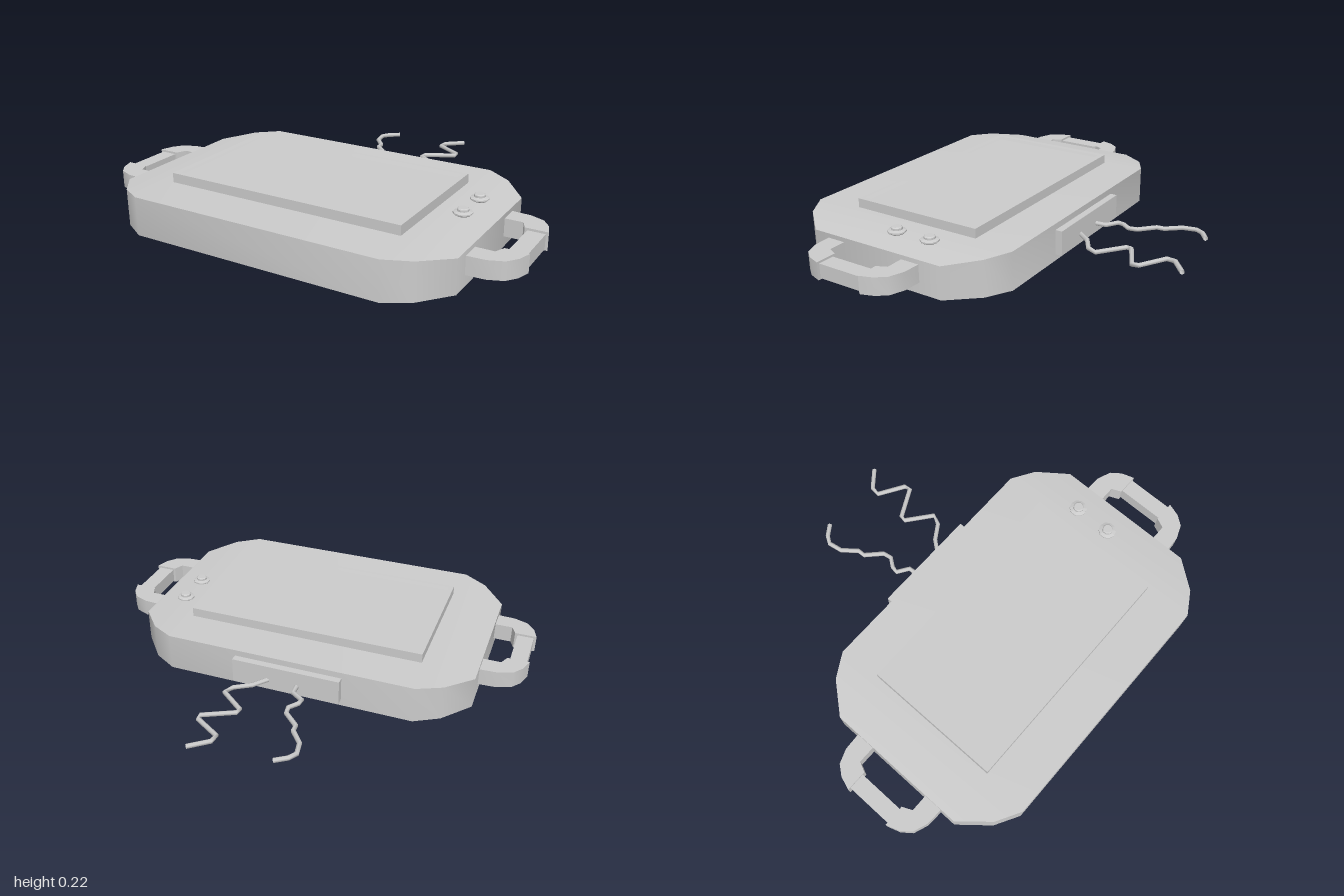
import * as THREE from 'three';
import { toCreasedNormals } from 'three/addons/utils/BufferGeometryUtils.js';

const grey = new THREE.MeshStandardMaterial({ color: 0xcccccc });
const greyFlat = new THREE.MeshStandardMaterial({ color: 0xcccccc, flatShading: true });
const greyWire = new THREE.MeshStandardMaterial({ color: 0xcccccc, side: THREE.DoubleSide });

const MID_Z = 0.283;

function part(name, geometry, material = greyFlat) {
  const mesh = new THREE.Mesh(geometry, material);
  mesh.name = name;
  return mesh;
}

function box(name, x0, x1, y0, y1, z0, z1) {
  const g = new THREE.BoxGeometry(x1 - x0, y1 - y0, z1 - z0);
  g.translate((x0 + x1) / 2, (y0 + y1) / 2, (z0 + z1) / 2);
  return part(name, g);
}

// Extrudes a plan outline given as [x, z] points between two heights
function slab(points, y0, y1, holes = []) {
  const toVectors = (list) => list.map(([x, z]) => new THREE.Vector2(x, -z));
  const shape = new THREE.Shape(toVectors(points));
  holes.forEach((h) => shape.holes.push(new THREE.Path(toVectors(h))));
  const g = new THREE.ExtrudeGeometry(shape, { depth: y1 - y0, bevelEnabled: false });
  return g.rotateX(-Math.PI / 2).translate(0, y0, 0);
}

const rect = (x0, x1, z0, z1) => [[x0, z0], [x1, z0], [x1, z1], [x0, z1]];

// Body: rectangles lofted along x, with cut corners and a top sloping to the ends
function bodyGeometry() {
  const half = [[0.58, 0.528, 0.174], [0.69, 0.465, 0.166], [0.8, 0.335, 0.15]];
  const sections = [...half.map(([x, d, h]) => [-x, d, h]).reverse(), ...half];
  const pos = [];
  const index = [];
  for (const [x, d, h] of sections) {
    pos.push(x, 0, MID_Z + d, x, h, MID_Z + d, x, h, MID_Z - d, x, 0, MID_Z - d);
  }
  for (let s = 0; s < sections.length - 1; s++) {
    for (let k = 0; k < 4; k++) {
      const a = s * 4 + k;
      const b = s * 4 + ((k + 1) % 4);
      index.push(a, a + 4, b, b, a + 4, b + 4);
    }
  }
  const e = (sections.length - 1) * 4;
  index.push(0, 1, 2, 0, 2, 3, e, e + 2, e + 1, e, e + 3, e + 2);
  const g = new THREE.BufferGeometry();
  g.setAttribute('position', new THREE.Float32BufferAttribute(pos, 3));
  g.setIndex(index);
  return toCreasedNormals(g, 0.75);
}

// Handle: two curved arms and a slimmer grip
function handle(name, side) {
  const group = new THREE.Group();
  group.name = name;
  const z0 = 0.3;
  const arm = [[0.78, 0.245], [0.88, 0.24], [0.945, 0.215], [0.98, 0.17], [1, 0.11],
    [0.9, 0.11], [0.88, 0.155], [0.78, 0.155]];
  for (const end of [1, -1]) {
    let outline = arm.map(([x, z]) => [side * x, z0 + end * z]);
    group.add(part('handleArm', toCreasedNormals(slab(outline, 0.05, 0.13), 0.6), grey));
  }
  const xs = [side * 0.912, side * 0.988].sort((a, b) => a - b);
  group.add(box('handleGrip', xs[0], xs[1], 0.055, 0.12, z0 - 0.115, z0 + 0.115));
  return group;
}

// Straight-segment path with one tube ring at each bend
class BentPath extends THREE.Curve {
  constructor(points) {
    super();
    this.points = points;
  }
  getPoint(t, target = new THREE.Vector3()) {
    const n = this.points.length - 1;
    const i = Math.min(Math.floor(t * n + 1e-9), n - 1);
    return target.lerpVectors(this.points[i], this.points[i + 1], t * n - i);
  }
  getPointAt(u, target) { return this.getPoint(u, target); }
  getTangentAt(u, target) { return this.getTangent(u, target); }
}

function wire(name, plan) {
  const n = plan.length - 1;
  const points = plan.map(([x, z], i) => new THREE.Vector3(x, 0.072 + 0.006 * i / n, z));
  const tube = new THREE.TubeGeometry(new BentPath(points), n, 0.011, 6, false);
  return part(name, tube, greyWire);
}

function knob(name, z) {
  const profile = [[0, 0.15], [0.022, 0.15], [0.025, 0.163], [0.041, 0.174], [0.041, 0.18],
    [0.025, 0.185], [0.025, 0.194], [0.02, 0.198], [0, 0.198]];
  const g = new THREE.LatheGeometry(profile.map((p) => new THREE.Vector2(...p)), 10);
  return part(name, g.translate(0.67, 0, z));
}

export function createModel() {
  const model = new THREE.Group();
  model.name = 'trayWithScreen';

  model.add(part('body', bodyGeometry(), grey));

  // Raised frame around the recessed screen
  model.add(part('screenFrame', slab(rect(-0.56, 0.556, -0.047, 0.595), 0.165, 0.217,
    [rect(-0.535, 0.53, -0.022, 0.572)])));
  model.add(box('screen', -0.545, 0.54, 0.165, 0.197, -0.032, 0.582));

  // Controls
  model.add(knob('rearKnob', 0.1), knob('frontKnob', 0.275));

  model.add(handle('leftHandle', 1), handle('rightHandle', -1));

  // Socket plate and loose wires at the back
  model.add(box('backPlate', -0.255, 0.25, 0.03, 0.145, -0.277, -0.23));
  model.add(wire('leftWire', [[0.075, -0.265], [0.13, -0.335], [0.2, -0.38], [0.222, -0.425],
    [0.108, -0.515], [0.112, -0.54], [0.248, -0.61], [0.243, -0.638], [0.125, -0.71],
    [0.13, -0.75], [0.21, -0.815]]));
  model.add(wire('rightWire', [[-0.057, -0.265], [-0.062, -0.325], [-0.115, -0.36],
    [-0.11, -0.39], [-0.08, -0.43], [-0.087, -0.47], [-0.155, -0.535], [-0.157, -0.57],
    [-0.21, -0.635], [-0.222, -0.7], [-0.2, -0.735], [-0.15, -0.77]]));

  return model;
}
